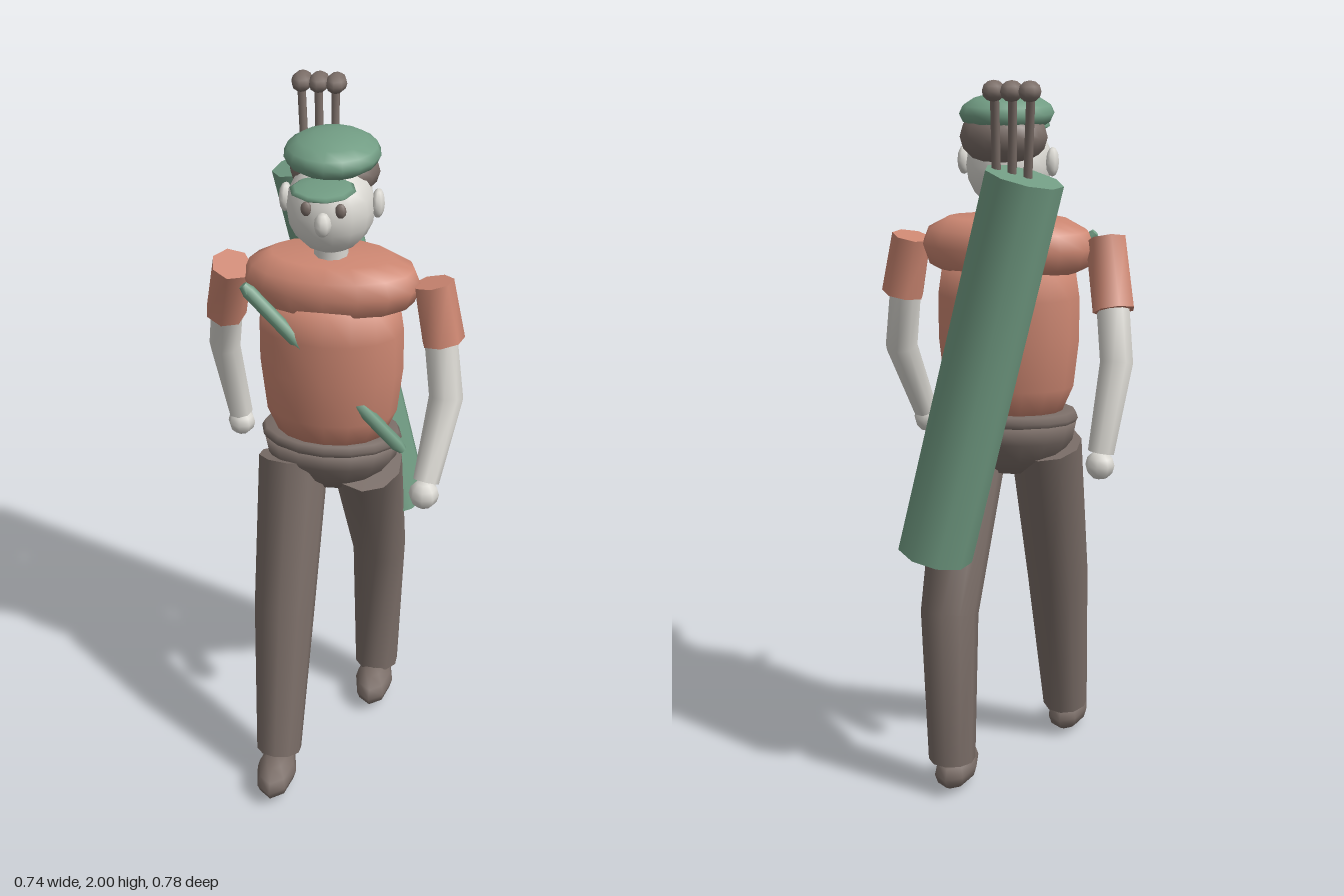
import * as THREE from 'three';
import { toCreasedNormals } from 'three/addons/utils/BufferGeometryUtils.js';

const mat = (name, color) => {
  const m = new THREE.MeshStandardMaterial({ color });
  m.name = name;
  return m;
};

// Smooth tapered limb: rings of given radii swept through [x, y, z, radius] stations, capped at both ends
function limbGeometry(stations, sides) {
  const pts = stations.map(s => new THREE.Vector3(s[0], s[1], s[2]));
  const up = new THREE.Vector3(0, 1, 0);
  const pos = [], idx = [];
  pts.forEach((p, i) => {
    const a = pts[Math.max(i - 1, 0)], b = pts[Math.min(i + 1, pts.length - 1)];
    const q = new THREE.Quaternion().setFromUnitVectors(up, a.clone().sub(b).normalize());
    for (let j = 0; j < sides; j++) {
      const t = (j / sides) * Math.PI * 2, r = stations[i][3];
      const v = new THREE.Vector3(Math.sin(t) * r, 0, Math.cos(t) * r).applyQuaternion(q).add(p);
      pos.push(v.x, v.y, v.z);
    }
  });
  for (let i = 0; i < pts.length - 1; i++) {
    for (let j = 0; j < sides; j++) {
      const k = (j + 1) % sides;
      const a = i * sides + j, b = i * sides + k, c = a + sides, d = b + sides;
      idx.push(a, c, b, b, c, d);
    }
  }
  const last = (pts.length - 1) * sides;
  for (let j = 1; j < sides - 1; j++) {
    idx.push(0, j, j + 1, last, last + j + 1, last + j);
  }
  const g = new THREE.BufferGeometry();
  g.setAttribute('position', new THREE.Float32BufferAttribute(pos, 3));
  g.setIndex(idx);
  return toCreasedNormals(g, 1.1);
}

export function createModel() {
  const model = new THREE.Group();
  model.name = 'golfer';
  const skin = mat('pale skin', 0xd9d7d1);
  const shirt = mat('terracotta shirt', 0xcd8772);
  const green = mat('sage green', 0x729d84);
  const brown = mat('grey brown', 0x7a6d67);

  const add = (name, geometry, material) => {
    const m = new THREE.Mesh(geometry, material);
    m.name = name;
    model.add(m);
    return m;
  };
  const blob = (name, material, p, s, w = 12, h = 8) => {
    const m = add(name, new THREE.SphereGeometry(1, w, h), material);
    m.position.set(...p);
    m.scale.set(...s);
    return m;
  };
  const limb = (name, material, stations, sides = 8) => add(name, limbGeometry(stations, sides), material);
  // Oval body section turned from a profile listed bottom to top
  const oval = (name, material, profile, depth, z) => {
    const g = new THREE.LatheGeometry(profile.map(p => new THREE.Vector2(...p)), 16);
    const m = add(name, g, material);
    m.scale.z = depth;
    m.position.z = z;
    return m;
  };

  // Torso and hips
  oval('torso', shirt, [[0, 1.06], [0.15, 1.07], [0.185, 1.15], [0.2, 1.28], [0.2, 1.4], [0.185, 1.5], [0, 1.52]], 0.7, -0.025);
  oval('shoulders', shirt, [[0, 1.45], [0.17, 1.457], [0.225, 1.485], [0.243, 1.535], [0.225, 1.58], [0.165, 1.612], [0, 1.615]], 0.585, -0.03);
  oval('hips', brown, [[0, 0.89], [0.075, 0.9], [0.145, 0.945], [0.185, 1.0], [0.195, 1.05], [0, 1.055]], 0.65, -0.03);
  oval('belt', brown, [[0.15, 1.045], [0.19, 1.045], [0.2, 1.062], [0.19, 1.08], [0.14, 1.08]], 0.66, -0.03);

  // Striding legs and shoes
  limb('rightLeg', brown, [[-0.105, 0.98, -0.01, 0.1], [-0.11, 0.55, 0.125, 0.088], [-0.112, 0.1, 0.23, 0.066]], 10);
  limb('leftLeg', brown, [[0.105, 0.98, -0.015, 0.1], [0.11, 0.54, -0.25, 0.08], [0.108, 0.1, -0.245, 0.066]], 10);
  blob('rightShoe', brown, [-0.11, 0.058, 0.28], [0.058, 0.056, 0.116], 8, 6);
  blob('leftShoe', brown, [0.108, 0.058, -0.198], [0.058, 0.056, 0.116], 8, 6);

  // Arms: left swings forward, right swings back
  limb('rightSleeve', shirt, [[-0.272, 1.56, -0.02, 0.056], [-0.31, 1.38, -0.09, 0.058]], 7);
  limb('leftSleeve', shirt, [[0.275, 1.55, -0.025, 0.056], [0.308, 1.385, -0.012, 0.06]], 7);
  limb('rightArm', skin, [[-0.295, 1.45, -0.06, 0.045], [-0.328, 1.25, -0.14, 0.045], [-0.297, 1.01, -0.18, 0.036]]);
  limb('leftArm', skin, [[0.295, 1.45, -0.015, 0.045], [0.325, 1.23, 0.018, 0.047], [0.29, 1.02, 0.125, 0.036]]);
  blob('rightHand', skin, [-0.295, 0.975, -0.182], [0.04, 0.04, 0.04], 8, 6);
  blob('leftHand', skin, [0.287, 0.99, 0.142], [0.042, 0.042, 0.042], 8, 6);

  // Head and face
  limb('neck', skin, [[0, 1.68, -0.02, 0.045], [0, 1.59, -0.025, 0.047]], 10);
  blob('head', skin, [0, 1.755, -0.015], [0.118, 0.125, 0.122], 14, 10);
  blob('nose', skin, [0, 1.752, 0.105], [0.023, 0.033, 0.03], 8, 6);
  for (const [side, s] of [['left', 1], ['right', -1]]) {
    blob(side + 'Eye', brown, [0.045 * s, 1.788, 0.093], [0.015, 0.02, 0.013], 8, 6);
    blob(side + 'Ear', skin, [0.123 * s, 1.765, -0.028], [0.018, 0.04, 0.032], 8, 6);
  }
  blob('hair', brown, [0, 1.835, -0.075], [0.121, 0.08, 0.103], 14, 8);

  // Cap
  blob('capCrown', green, [0, 1.893, -0.04], [0.128, 0.055, 0.138], 16, 8);
  blob('capBrim', green, [0, 1.848, 0.1], [0.086, 0.014, 0.097], 10, 6).rotation.x = -0.05;

  // Slanted bag with its shoulder strap
  limb('bag', green, [[-0.11, 1.755, -0.288, 0.105], [0.15, 0.71, -0.252, 0.105]], 9);
  limb('strap', green, [[-0.215, 1.56, 0.1, 0.012], [-0.2, 1.543, 0.1, 0.019], [0.2, 1.092, 0.064, 0.019], [0.216, 1.074, 0.062, 0.012]], 6);

  // Clubs standing in the bag
  for (let i = 0; i < 3; i++) {
    const x = -0.135 + i * 0.047;
    limb('clubShaft' + (i + 1), brown, [[x, 1.96, -0.32, 0.012], [-0.115 + i * 0.04, 1.7, -0.275, 0.012]], 6);
    blob('clubHead' + (i + 1), brown, [x, 1.973, -0.33], [0.03, 0.027, 0.047], 8, 6);
  }
  return model;
}
